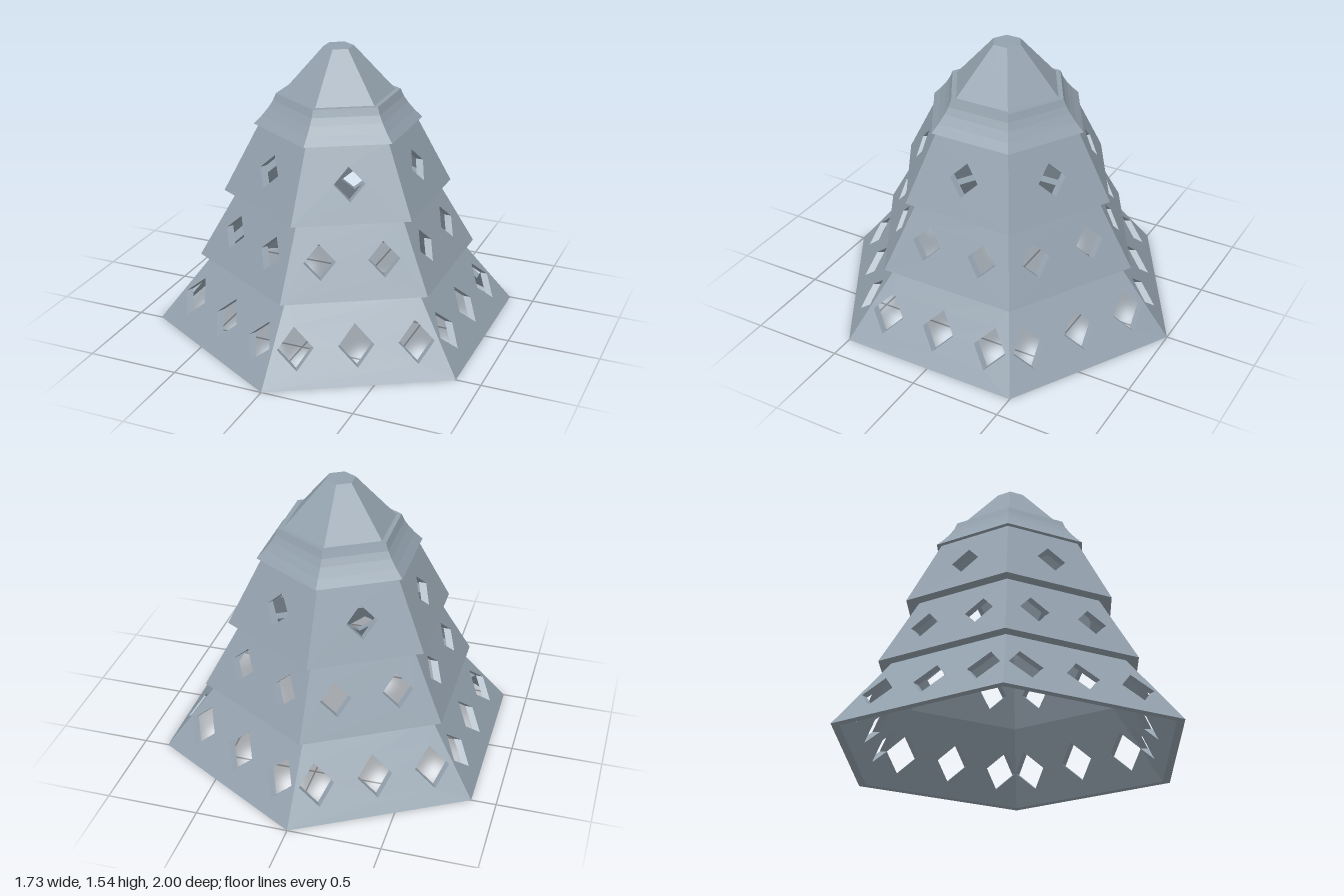
import * as THREE from 'three';

const T30 = Math.tan(Math.PI / 6), C30 = Math.cos(Math.PI / 6);
const WALL = 0.04;

// Each tier: bottom/top height, bottom/top distance of the face from the axis, diamond holes
const TIERS = [
  { name: 'lowerTier', y0: 0, y1: 0.38, a0: 0.866, a1: 0.6, holeY: 0.17, half: 0.094, at: [-0.314, 0, 0.314] },
  { name: 'middleTier', y0: 0.38, y1: 0.755, a0: 0.663, a1: 0.475, holeY: 0.565, half: 0.084, at: [-0.167, 0.167] },
  { name: 'upperTier', y0: 0.755, y1: 1.13, a0: 0.54, a1: 0.37, holeY: 0.942, half: 0.083, at: [0] },
];

// One sloping wall panel facing +x, pierced horizontally and mitred at both ends
function panelGeometry({ y0, y1, a0, a1, holeY, half, at }) {
  const w0 = a0 * T30, w1 = a1 * T30;
  const shape = new THREE.Shape([[-w0, y0], [w0, y0], [w1, y1], [-w1, y1]].map(p => new THREE.Vector2(...p)));
  for (const c of at) {
    shape.holes.push(new THREE.Path([[c, holeY - half], [c - half, holeY], [c, holeY + half], [c + half, holeY]]
      .map(p => new THREE.Vector2(...p))));
  }
  const geo = new THREE.ExtrudeGeometry(shape, { depth: WALL, bevelEnabled: false });
  geo.rotateY(Math.PI / 2);
  const p = geo.attributes.position;
  for (let i = 0; i < p.count; i++) {
    const y = p.getY(i);
    const x = p.getX(i) - WALL + a0 + (a1 - a0) * (y - y0) / (y1 - y0);
    const limit = x * T30;
    p.setXYZ(i, x, y, THREE.MathUtils.clamp(p.getZ(i), -limit, limit));
  }
  geo.computeVertexNormals();
  return geo;
}

// Six-sided flat-faced turning; profile radii are measured to the flats
function hexLathe(profile) {
  const pts = profile.map(([a, y]) => new THREE.Vector2(a / C30, y));
  const geo = new THREE.LatheGeometry(pts, 6).toNonIndexed();
  geo.computeVertexNormals();
  return geo;
}

export function createModel() {
  const group = new THREE.Group();
  const slate = new THREE.MeshStandardMaterial({ color: 0x93a1ad, side: THREE.DoubleSide });
  slate.name = 'slateGrey';
  const add = (parent, name, geo) => {
    const mesh = new THREE.Mesh(geo, slate);
    mesh.name = name;
    parent.add(mesh);
    return mesh;
  };

  // Pierced tiers
  TIERS.forEach((tier, t) => {
    const ring = new THREE.Group();
    ring.name = tier.name;
    const geo = panelGeometry(tier);
    for (let i = 0; i < 6; i++) add(ring, 'wallPanel', geo).rotation.y = i * Math.PI / 3;
    // Ledge joining this tier to the top of the one below
    if (t > 0) add(ring, 'ledge', hexLathe([[TIERS[t - 1].a1, tier.y0], [tier.a0 - WALL, tier.y0]]));
    group.add(ring);
  });

  // Flared collar under the cap
  add(group, 'collar', hexLathe([
    [0.33, 1.13], [0.395, 1.13], [0.358, 1.173], [0.326, 1.218], [0.305, 1.255], [0.29, 1.295], [0.265, 1.295],
  ]));

  // Tapered cap with a small flat top
  add(group, 'cap', hexLathe([[0.265, 1.295], [0.07, 1.545], [0, 1.545]]));

  // Inner lining of collar and cap
  add(group, 'lining', hexLathe([[0, 1.5], [0.055, 1.5], [0.245, 1.26], [0.33, 1.13]]));

  return group;
}
